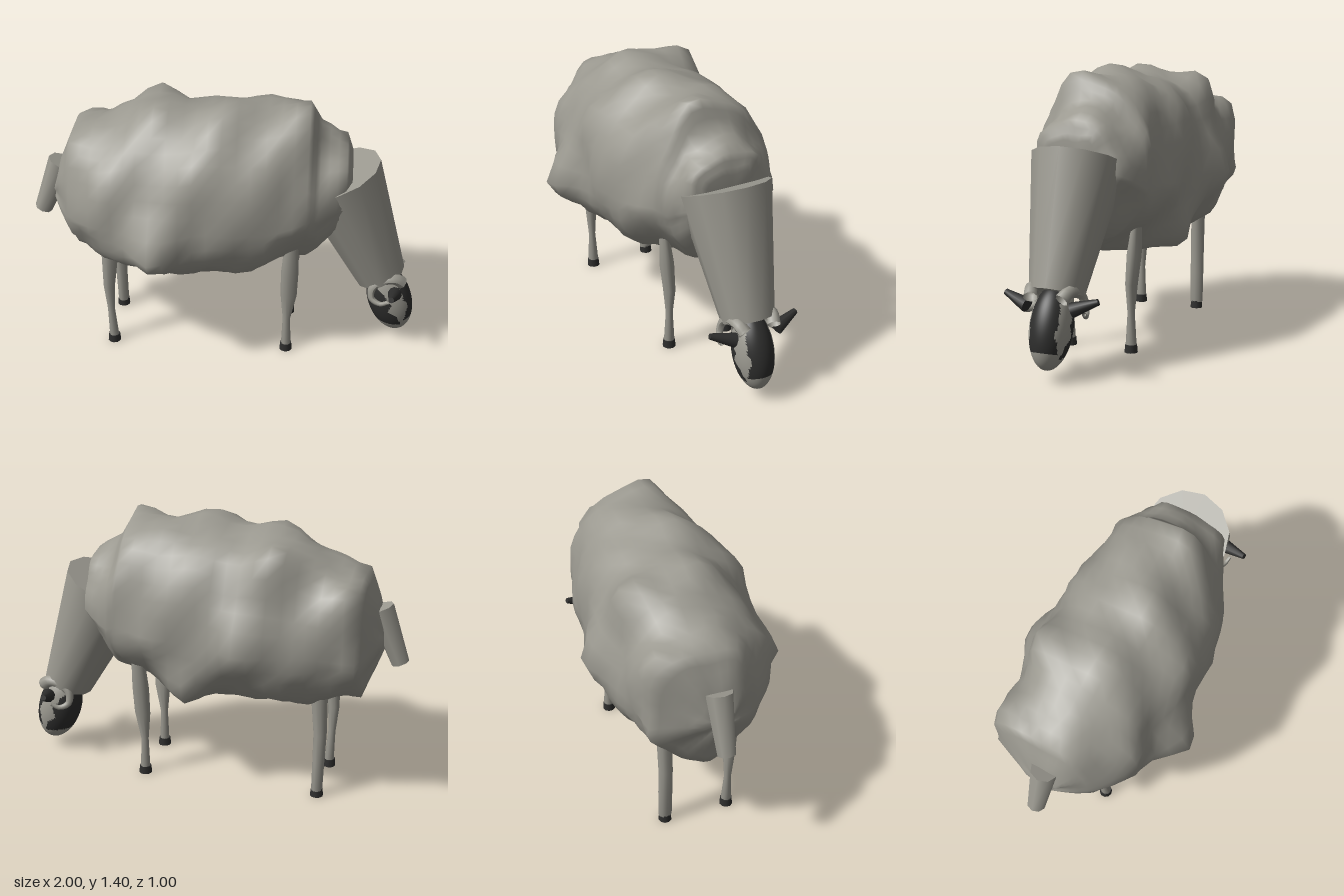
import * as THREE from 'three';

const V = (x, y, z) => new THREE.Vector3(x, y, z);
const mat = (name, color) => Object.assign(new THREE.MeshStandardMaterial({ color }), { name });
const MID = -0.04; // z of the animal's centre line

// Skin a list of rings (arrays of Vector3) and close both ends.
function loft(rings) {
  const centre = r => r.reduce((s, p) => s.add(p), V(0, 0, 0)).divideScalar(r.length);
  const first = rings[0], last = rings[rings.length - 1], n = first.length;
  const all = [first.map(() => centre(first)), ...rings, last.map(() => centre(last))];
  const index = [];
  for (let i = 0; i < all.length - 1; i++) {
    for (let j = 0; j < n; j++) {
      const a = i * n + j, b = i * n + (j + 1) % n, c = a + n, d = b + n;
      if (i < all.length - 2) index.push(a, c, d);
      if (i > 0) index.push(a, d, b);
    }
  }
  const g = new THREE.BufferGeometry().setFromPoints(all.flat());
  g.setIndex(index);
  g.computeVertexNormals();
  return g;
}

// Tapered cylinder running from a to b.
function between(a, b, ra, rb, sides) {
  const dir = b.clone().sub(a);
  const g = new THREE.CylinderGeometry(rb, ra, dir.length(), sides);
  g.applyQuaternion(new THREE.Quaternion().setFromUnitVectors(V(0, 1, 0), dir.normalize()));
  const m = a.clone().add(b).multiplyScalar(0.5);
  return g.translate(m.x, m.y, m.z);
}

// Lumpy fleece: stations give x, bottom, top, back z, front z.
function fleeceGeometry() {
  const st = [
    [-0.875, 0.79, 0.9, -0.12, 0.03], [-0.835, 0.68, 1.05, -0.22, 0.11], [-0.775, 0.53, 1.2, -0.36, 0.2],
    [-0.6, 0.52, 1.25, -0.39, 0.33], [-0.42, 0.48, 1.32, -0.41, 0.35], [-0.2, 0.49, 1.33, -0.42, 0.38],
    [0, 0.48, 1.37, -0.42, 0.38], [0.22, 0.48, 1.36, -0.41, 0.36], [0.42, 0.53, 1.36, -0.37, 0.27],
    [0.48, 0.57, 1.25, -0.35, 0.23], [0.61, 0.74, 1.19, -0.27, 0.18], [0.64, 0.86, 1.1, -0.18, 0.1]];
  // Bumps: x, y, z, height, radius
  const bumps = [
    [-0.31, 0.75, 0.38, 0.14, 0.13], [-0.27, 0.86, -0.41, 0.09, 0.13], [-0.33, 1.23, -0.28, 0.11, 0.12],
    [0, 1.36, 0.05, 0.05, 0.12], [0.4, 1.33, 0.06, 0.035, 0.12], [-0.33, 1.3, 0, 0.05, 0.12],
    [0.08, 0.56, -0.35, 0.08, 0.12], [-0.42, 0.48, 0.05, 0.06, 0.1], [-0.72, 1.1, -0.3, 0.05, 0.12],
    [-0.1, 1.1, 0.32, 0.04, 0.15]];
  const N = 33, M = 36, rings = [];
  const pw = (v, p) => Math.sign(v) * Math.abs(v) ** p;
  const ease = THREE.MathUtils.smoothstep;
  for (let i = 0; i <= N; i++) {
    const t = Math.min(i / N * (st.length - 1), st.length - 1.0001), k = Math.floor(t);
    const [x, lo, hi, z0, z1] = st[k].map((v, q) => v + (st[k + 1][q] - v) * (t - k));
    const cy = lo + (hi - lo) * 0.42, cz = (z0 + z1) / 2;
    // The belly is boxy amidships and narrows between the front legs and at the rump.
    const belly = 0.84 + 0.48 * ease(x, 0.08, 0.32) + 0.4 * ease(-x, 0.55, 0.78);
    rings.push(Array.from({ length: M }, (_, j) => {
      const a = j / M * Math.PI * 2, s = Math.sin(a), c = Math.cos(a);
      const e = s < 0 ? belly : c > 0 ? 0.98 : 0.88;
      const p = V(x, cy + pw(s, e) * (s > 0 ? hi - cy : cy - lo), cz + pw(c, e) * (z1 - z0) / 2);
      const out = V(0, p.y - cy, p.z - cz).normalize();
      let d = 0.008 * Math.sin(9 * x + 3 * a) + 0.009 * Math.sin(17 * x - 5 * a + 1) + 0.007 * Math.sin(25 * x + 8 * a);
      for (const [bx, by, bz, h, r] of bumps) d += h * Math.exp(-p.distanceToSquared(V(bx, by, bz)) / (r * r));
      return p.addScaledVector(out, d);
    }));
  }
  return loft(rings);
}

// Leg skinned over levels of [x, y, z, x radius, z radius].
const legGeometry = levels => loft(levels.map(([x, y, z, rx, rz]) =>
  Array.from({ length: 10 }, (_, j) => {
    const a = j / 10 * Math.PI * 2;
    return V(x + rx * Math.cos(a), y, z + rz * Math.sin(a));
  })));

// Head: an ellipsoid whose faces are sorted into pale and dark markings.
function headGeometry() {
  const g = new THREE.SphereGeometry(1, 64, 48);
  const pos = g.attributes.position, idx = g.index.array, pale = [], dark = [];
  for (let i = 0; i < idx.length; i += 3) {
    const tri = [idx[i], idx[i + 1], idx[i + 2]], c = V(0, 0, 0);
    tri.forEach(k => c.add(V(pos.getX(k), pos.getY(k), pos.getZ(k)).divideScalar(3)));
    const w = 0.05 * Math.sin(9 * c.y) + 0.03 * Math.sin(17 * c.y + 1);
    const blaze = c.x > 0 && Math.abs(c.z) < 0.68 + w && c.y > -0.62;
    const cheek = c.x < -0.02 + 2 * w - 0.25 * c.y && c.y < 0.6 && c.y > -0.68 - 0.25 * c.x;
    (blaze || cheek ? dark : pale).push(...tri);
  }
  g.setIndex([...pale, ...dark]);
  g.clearGroups();
  g.addGroup(0, pale.length, 0);
  g.addGroup(pale.length, dark.length, 1);
  return g.scale(0.115, 0.2, 0.1).rotateZ(0.306).translate(0.875, 0.25, MID);
}

// Curled horn, tapering along its path.
function hornGeometry(s) {
  const pts = [[0.93, 0.4, 0.08], [0.89, 0.43, 0.095], [0.82, 0.42, 0.105], [0.775, 0.38, 0.115],
    [0.775, 0.325, 0.13], [0.82, 0.305, 0.15], [0.86, 0.325, 0.16]].map(([x, y, z]) => V(x, y, MID + s * z));
  const curve = new THREE.CatmullRomCurve3(pts), T = 24, R = 8;
  const g = new THREE.TubeGeometry(curve, T, 0.034, R), pos = g.attributes.position;
  for (let i = 0; i <= T; i++) {
    const c = curve.getPointAt(i / T), k = 1 - 0.7 * i / T;
    for (let j = 0; j <= R; j++) {
      const q = i * (R + 1) + j;
      const p = V().fromBufferAttribute(pos, q).sub(c).multiplyScalar(k).add(c);
      pos.setXYZ(q, p.x, p.y, p.z);
    }
  }
  g.computeVertexNormals();
  return g;
}

export function createModel() {
  const wool = mat('wool', 0x9b9990), black = mat('black', 0x2e2e2d);
  wool.side = THREE.DoubleSide;
  const model = new THREE.Group();
  model.name = 'sheep';
  const add = (name, g, m) => {
    const mesh = new THREE.Mesh(g, m);
    mesh.name = name;
    model.add(mesh);
  };

  add('fleece', fleeceGeometry(), wool);
  add('neck', between(V(0.567, 0.994, MID), V(0.818, 0.4, MID), 0.23, 0.132, 12), wool);
  add('tail', between(V(-0.845, 1, MID), V(-0.957, 0.715, MID), 0.068, 0.046, 8), wool);
  add('head', headGeometry(), [wool, black]);

  for (const s of [1, -1]) {
    const side = s > 0 ? 'Right' : 'Left', foot = MID + s * 0.168;
    add('horn' + side, hornGeometry(s), wool);
    add('ear' + side, between(V(0.895, 0.35, MID + s * 0.115), V(0.87, 0.395, MID + s * 0.238), 0.037, 0.015, 10), black);

    // Front legs narrow at the shin and lean outward at the top.
    add('frontLeg' + side, legGeometry([
      [0.335, 0.035, foot, 0.025, 0.028], [0.335, 0.2, foot, 0.02, 0.018], [0.343, 0.35, foot + s * 0.005, 0.042, 0.03],
      [0.345, 0.5, foot + s * 0.02, 0.045, 0.036], [0.35, 0.66, foot + s * 0.036, 0.036, 0.024],
      [0.35, 0.7, foot + s * 0.038, 0.028, 0.018]]), wool);

    // One hind leg matches the front pair; the other is a plain post.
    add('hindLeg' + side, legGeometry(s > 0 ? [
      [-0.588, 0.035, foot, 0.025, 0.028], [-0.597, 0.2, foot, 0.019, 0.018], [-0.602, 0.35, foot, 0.03, 0.03],
      [-0.588, 0.55, foot + 0.01, 0.043, 0.037], [-0.585, 0.65, foot + 0.01, 0.04, 0.035]] : [
      [-0.588, 0.035, foot, 0.029, 0.035], [-0.592, 0.2, foot, 0.031, 0.036], [-0.596, 0.35, foot, 0.034, 0.036],
      [-0.588, 0.55, foot - 0.005, 0.042, 0.037], [-0.585, 0.65, foot - 0.01, 0.04, 0.035]]), wool);

    for (const [name, x] of [['frontHoof', 0.335], ['hindHoof', -0.588]]) {
      const hoof = new THREE.CylinderGeometry(0.03, 0.034, 0.04, 10);
      add(name + side, hoof.translate(x, 0.02, foot), black);
    }
  }
  return model;
}
